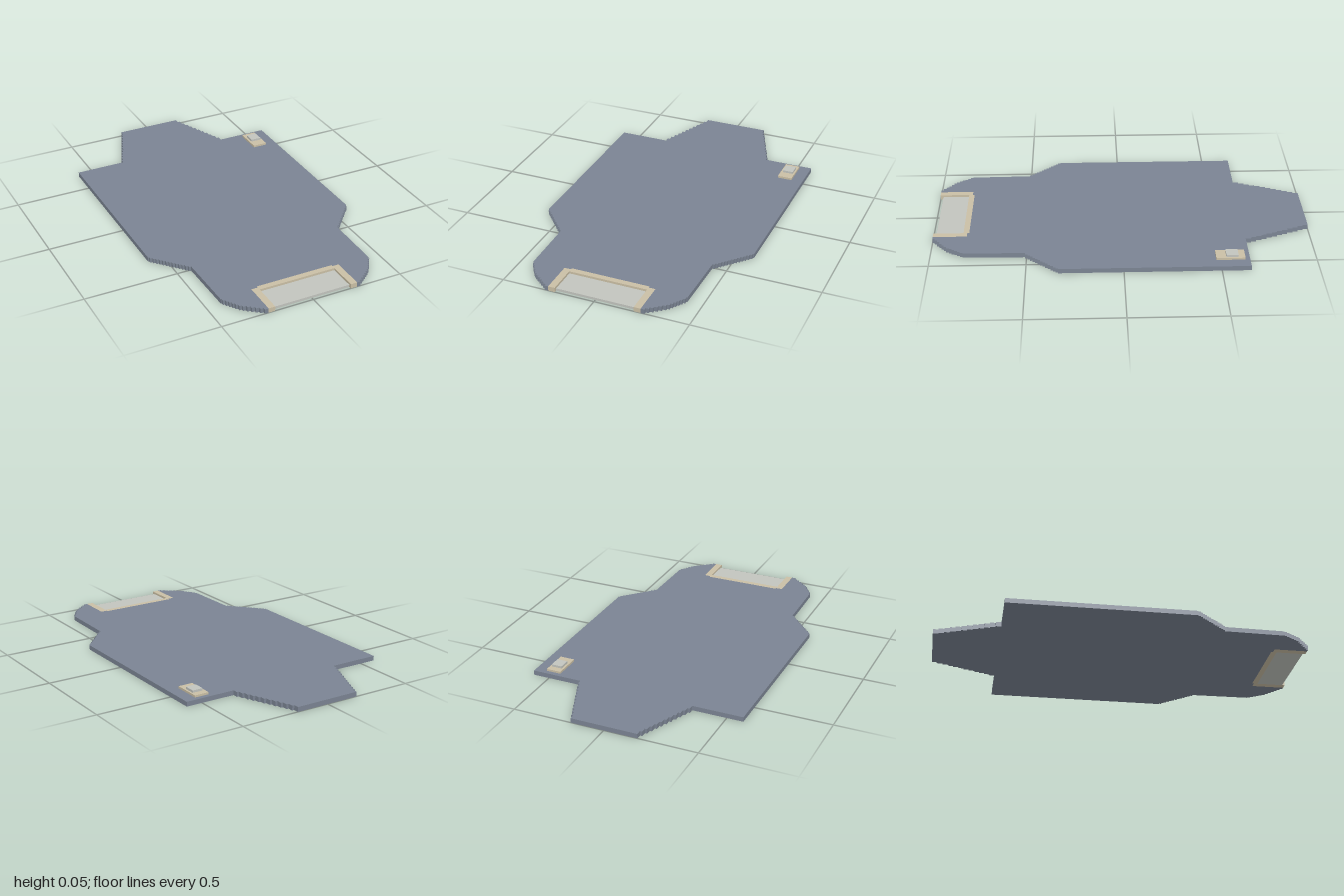
import * as THREE from 'three';

const slate = new THREE.MeshStandardMaterial({ color: 0x7b8493 });
slate.name = 'slate';
const tan = new THREE.MeshStandardMaterial({ color: 0xcabfa5 });
tan.name = 'tan';
const paleGrey = new THREE.MeshStandardMaterial({ color: 0xc2c4be });
paleGrey.name = 'pale grey';

const THICK = 0.025;

// Staircase of n rows along a line from a to b, as [x, z] corners
function stairs([ax, az], [bx, bz], n) {
  const points = [];
  for (let i = 0; i < n; i++) {
    const x = ax + (bx - ax) * (i + 0.5) / n;
    points.push([x, az + (bz - az) * i / n], [x, az + (bz - az) * (i + 1) / n]);
  }
  return points;
}

// Box given by its limits on each axis
function box(name, material, [x0, x1], [y0, y1], [z0, z1]) {
  const mesh = new THREE.Mesh(new THREE.BoxGeometry(x1 - x0, y1 - y0, z1 - z0), material);
  mesh.position.set((x0 + x1) / 2, (y0 + y1) / 2, (z0 + z1) / 2);
  mesh.name = name;
  return mesh;
}

export function createModel() {
  const model = new THREE.Group();
  model.name = 'steppedPlate';

  // Plate: half outline from back to front, with a slot for the connector
  const half = [
    ...stairs([0.175, -1], [0.32, -0.65], 12),
    [0.588, -0.65], [0.588, 0.335],
    ...stairs([0.588, 0.335], [0.42, 0.52], 14),
    [0.42, 0.83],
    ...stairs([0.42, 0.83], [0.36, 0.92], 6),
    ...stairs([0.36, 0.92], [0.26, 1], 6),
    [0.248, 1], [0.248, 0.82], [0.212, 0.82], [0.212, 0.81],
  ];
  const outline = [...half, ...half.map(([x, z]) => [-x, z]).reverse()];
  const shape = new THREE.Shape(outline.map(([x, z]) => new THREE.Vector2(x, -z)));
  const plateGeometry = new THREE.ExtrudeGeometry(shape, { depth: THICK, bevelEnabled: false });
  plateGeometry.rotateX(-Math.PI / 2);
  const plate = new THREE.Mesh(plateGeometry, slate);
  plate.name = 'plate';
  model.add(plate);

  // Framed recessed panel at the front edge
  const frontPanel = new THREE.Group();
  frontPanel.name = 'frontPanel';
  frontPanel.add(
    box('frameBack', tan, [-0.212, 0.212], [0, THICK], [0.81, 0.84]),
    box('frameLeft', tan, [0.212, 0.248], [0, THICK], [0.82, 1]),
    box('frameRight', tan, [-0.248, -0.212], [0, THICK], [0.82, 1]),
    box('recessedPanel', paleGrey, [-0.212, 0.212], [0, 0.013], [0.84, 0.985]),
  );
  model.add(frontPanel);

  // Small raised button at the back left
  const button = new THREE.Group();
  button.name = 'button';
  button.add(
    box('buttonBase', tan, [0.445, 0.525], [THICK, 0.036], [-0.625, -0.475]),
    box('buttonCap', paleGrey, [0.457, 0.515], [0.036, 0.048], [-0.59, -0.527]),
  );
  model.add(button);

  return model;
}
